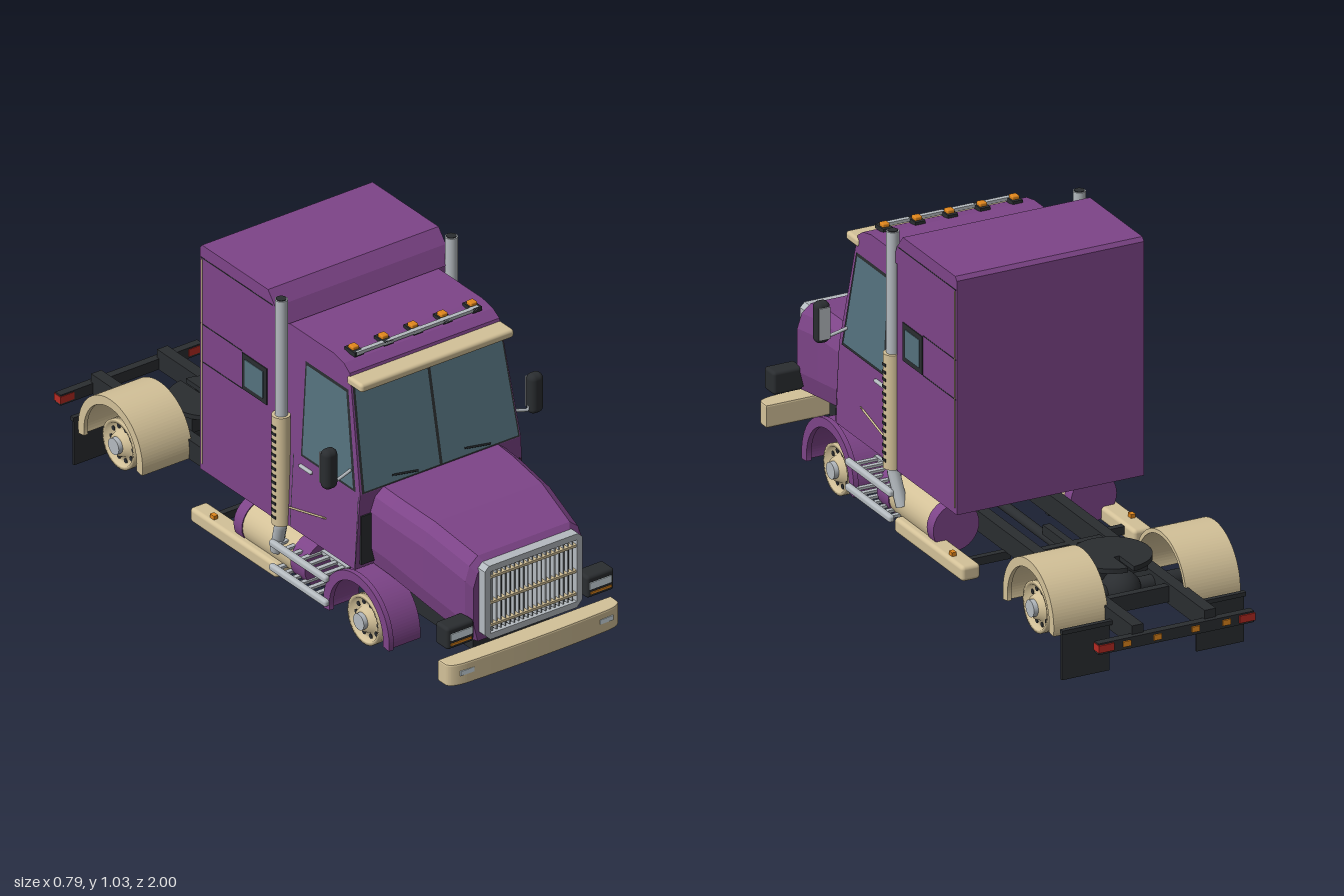
import * as THREE from 'three';
import { RoundedBoxGeometry } from 'three/addons/geometries/RoundedBoxGeometry.js';

const COLORS = {
  purple: 0x7d4488, tan: 0xd3c198, dark: 0x2a2d30, glass: 0x54717d,
  grey: 0xb4babf, orange: 0xe0861c, red: 0xb52a22, lens: 0xd5e2e8,
};
const MATS = {};
for (const [k, color] of Object.entries(COLORS)) {
  MATS[k] = new THREE.MeshStandardMaterial({ color, side: THREE.DoubleSide });
}

export function createModel() {
  const model = new THREE.Group();
  const add = (name, mat, geo) => {
    const m = new THREE.Mesh(geo, MATS[mat]);
    m.name = name;
    model.add(m);
    return m;
  };
  // Box given by its limits, optionally rounded
  const box = (name, mat, x0, x1, y0, y1, z0, z1, r = 0) => {
    const s = [Math.abs(x1 - x0), y1 - y0, z1 - z0];
    const g = r ? new RoundedBoxGeometry(...s, 3, r) : new THREE.BoxGeometry(...s);
    return add(name, mat, g.translate((x0 + x1) / 2, (y0 + y1) / 2, (z0 + z1) / 2));
  };
  // Side outline in (z, y), extruded across x
  const extrudeX = (shape, x0, x1) =>
    new THREE.ExtrudeGeometry(shape, { depth: x1 - x0, bevelEnabled: false, curveSegments: 28 })
      .rotateY(-Math.PI / 2).translate(x1, 0, 0);
  const outline = (pts) => new THREE.Shape(pts.map((p) => new THREE.Vector2(...p)));
  // Grid of points joined into a skin
  const skin = (rows) => {
    const pos = [];
    for (let i = 0; i < rows.length - 1; i++) {
      for (let j = 0; j < rows[i].length - 1; j++) {
        const [a, b, c, d] = [rows[i][j], rows[i][j + 1], rows[i + 1][j + 1], rows[i + 1][j]];
        pos.push(...a, ...b, ...c, ...a, ...c, ...d);
      }
    }
    const g = new THREE.BufferGeometry();
    g.setAttribute('position', new THREE.Float32BufferAttribute(pos, 3));
    g.computeVertexNormals();
    return g;
  };
  const cyl = (name, mat, axis, r, len, x, y, z, seg = 24) => {
    const g = new THREE.CylinderGeometry(r, r, len, seg);
    if (axis === 'x') g.rotateZ(Math.PI / 2);
    if (axis === 'z') g.rotateX(Math.PI / 2);
    return add(name, mat, g.translate(x, y, z));
  };
  const tube = (name, mat, r, ...pts) => add(name, mat, new THREE.TubeGeometry(
    new THREE.CatmullRomCurve3(pts.map((p) => new THREE.Vector3(...p)), false, 'catmullrom', 0.1), 12, r, 10));
  const arch = (r0, r1, x0, x1, a0, a1, y, z) => {
    const s = new THREE.Shape();
    s.absarc(0, 0, r1, a0, a1, false);
    s.absarc(0, 0, r0, a1, a0, true);
    return extrudeX(s, x0, x1).translate(0, y, z);
  };

  // Cab, tapering evenly toward the roof
  const cabW = (y) => 0.302 - 0.055 * (y - 0.285);
  const cab = extrudeX(outline([[0.1, 0.285], [0.52, 0.285], [0.527, 0.53], [0.457, 0.87], [0.45, 0.895],
    [0.42, 0.915], [0.37, 0.925], [0.1, 0.925]]), -1, 1);
  const cp = cab.attributes.position;
  for (let i = 0; i < cp.count; i++) cp.setX(i, cp.getX(i) * cabW(cp.getY(i)));
  cab.computeVertexNormals();
  add('cab', 'purple', cab);
  box('cabFloor', 'dark', -0.28, 0.28, 0.27, 0.286, -0.2, 0.5);
  box('firewall', 'dark', -0.285, 0.285, 0.3, 0.46, 0.515, 0.53);

  // Sleeper with sloping roof front
  add('sleeper', 'purple', extrudeX(outline([[-0.225, 0.28], [0.14, 0.28], [0.14, 0.93], [0.165, 0.93],
    [0.14, 0.985], [0.105, 1.027], [-0.215, 1.027], [-0.225, 1.015]]), -0.306, 0.306));

  // Windscreen panes, divider, visor and wipers
  const wz = (y, o) => 0.527 - 0.206 * (y - 0.53) + o;
  const pane = (x0b, x1b, x0t, x1t, y0, y1, o) => skin([
    [[x0b, y0, wz(y0, o)], [x1b, y0, wz(y0, o)]], [[x0t, y1, wz(y1, o)], [x1t, y1, wz(y1, o)]]]);
  add('windscreenSeal', 'dark', pane(-0.283, 0.283, -0.267, 0.267, 0.533, 0.868, 0.003));
  for (const s of [-1, 1]) {
    add('windscreen', 'glass', pane(s * 0.005, s * 0.276, s * 0.005, s * 0.261, 0.54, 0.862, 0.006));
    tube('wiper', 'dark', 0.003, [s * 0.13 - 0.045, 0.562, wz(0.562, 0.01)], [s * 0.13 + 0.045, 0.548, wz(0.548, 0.01)]);
  }
  box('sunVisor', 'tan', -0.275, 0.275, 0.858, 0.886, 0.44, 0.515, 0.01).rotation.x = 0;
  box('roofLightBar', 'grey', -0.22, 0.22, 0.924, 0.934, 0.405, 0.42);
  for (let i = -2; i <= 2; i++) {
    box('roofLightBase', 'dark', i * 0.106 - 0.016, i * 0.106 + 0.016, 0.92, 0.934, 0.37, 0.42);
    box('roofLight', 'orange', i * 0.106 - 0.012, i * 0.106 + 0.012, 0.932, 0.945, 0.38, 0.405, 0.004);
  }

  // Hood, lofted along z: [z, half width, top, bottom]
  const rows = [[0.5, 0.25, 0.535, 0.285], [0.6, 0.248, 0.53, 0.28], [0.76, 0.235, 0.517, 0.25],
    [0.93, 0.21, 0.475, 0.21], [0.95, 0.195, 0.455, 0.205]].map(([z, w, t, b]) => {
    const half = [[w - 0.015, b], [w, b + 0.06], [w, t - 0.07], [w - 0.015, t - 0.025], [w - 0.045, t]];
    return [...half.map(([x, y]) => [-x, y, z]), ...half.reverse().map(([x, y]) => [x, y, z])].reverse();
  });
  add('hood', 'purple', skin(rows));
  const nose = rows[rows.length - 1];
  add('hoodNose', 'purple', skin([nose.slice(0, 5), nose.slice(5).reverse()]));

  // Grille
  const frame = new THREE.Shape().moveTo(-0.155, 0.215).lineTo(0.155, 0.215).lineTo(0.175, 0.235)
    .lineTo(0.175, 0.445).lineTo(0.16, 0.46).lineTo(-0.16, 0.46).lineTo(-0.175, 0.445).lineTo(-0.175, 0.235);
  frame.holes.push(outline([[-0.155, 0.235], [-0.155, 0.44], [0.155, 0.44], [0.155, 0.235]]));
  add('grilleFrame', 'grey', new THREE.ExtrudeGeometry(frame, { depth: 0.033, bevelEnabled: false }).translate(0, 0, 0.945));
  box('grilleBack', 'dark', -0.157, 0.157, 0.233, 0.442, 0.945, 0.957);
  for (let i = -9; i <= 9; i++) box('grilleBar', 'grey', i * 0.016 - 0.002, i * 0.016 + 0.002, 0.238, 0.438, 0.957, 0.972);
  for (const y of [0.26, 0.335, 0.42]) box('grilleCrossbar', 'tan', -0.155, 0.155, y - 0.004, y + 0.004, 0.957, 0.977);

  // Front bumper with tapered ends
  const bumper = new THREE.Shape().moveTo(-0.305, 0.935).lineTo(0.305, 0.935).lineTo(0.305, 0.965)
    .quadraticCurveTo(0.3, 0.985, 0.25, 0.988).quadraticCurveTo(0, 0.998, -0.25, 0.988).quadraticCurveTo(-0.3, 0.985, -0.305, 0.965);
  add('frontBumper', 'tan', new THREE.ExtrudeGeometry(bumper, {
    depth: 0.06, bevelSize: 0.004, bevelThickness: 0.006, bevelSegments: 2 }).rotateX(Math.PI / 2).translate(0, 0.175, 0.002));

  // Chassis
  box('frontCrossmember', 'dark', -0.137, 0.137, 0.125, 0.185, 0.83, 0.87);
  for (const z of [-0.35, -0.48, -0.75, 0.1, 0.35]) box('crossmember', 'dark', -0.11, 0.11, 0.13, 0.18, z - 0.012, z + 0.012);
  box('centreBeam', 'dark', -0.012, 0.012, 0.15, 0.18, -0.5, -0.2);
  box('engine', 'dark', -0.09, 0.09, 0.12, 0.36, 0.5, 0.85, 0.02);
  box('rearBar', 'dark', -0.254, 0.254, 0.125, 0.16, -0.995, -0.97);
  cyl('driveshaft', 'dark', 'z', 0.015, 1.05, 0, 0.14, -0.1);
  cyl('frontAxle', 'dark', 'x', 0.018, 0.54, 0, 0.125, 0.545);
  cyl('rearAxle', 'dark', 'x', 0.025, 0.54, 0, 0.15, -0.655);
  add('differential', 'dark', new THREE.SphereGeometry(0.06, 20, 14).translate(0, 0.15, -0.655));

  // Coupling plate with a notch at the rear
  const plate = new THREE.Shape();
  plate.absarc(0, 0, 0.118, -Math.PI / 2 + 0.08, Math.PI * 1.5 - 0.08, false);
  plate.lineTo(-0.009, -0.03).lineTo(0.009, -0.03);
  add('couplingPlate', 'dark', new THREE.ExtrudeGeometry(plate, { depth: 0.015, bevelEnabled: false, curveSegments: 32 })
    .rotateX(Math.PI / 2).translate(0, 0.243, -0.6));
  box('couplingBase', 'dark', -0.1, 0.1, 0.18, 0.23, -0.63, -0.54);

  // Dished wheel centre with bolt holes
  const wheel = (s, y, z, x) => {
    const dish = [[0.02, 0.008], [0.035, 0.008], [0.042, -0.01], [0.062, -0.01], [0.068, 0.004], [0.078, 0.004], [0.078, -0.02], [0.02, -0.02]]
      .map((p) => new THREE.Vector2(...p));
    add('wheelDisc', 'tan', new THREE.LatheGeometry(dish, 32).rotateZ(-s * Math.PI / 2).translate(s * x, y, z));
    cyl('wheelHub', 'grey', 'x', 0.026, 0.045, s * x, y, z);
    for (let i = 0; i < 10; i++) {
      const a = i * Math.PI / 5;
      cyl('wheelHole', 'dark', 'x', 0.008, 0.014, s * (x - 0.015), y + 0.053 * Math.sin(a), z + 0.053 * Math.cos(a), 10);
    }
  };

  for (const s of [-1, 1]) {
    const mbox = (name, mat, x0, x1, ...rest) => box(name, mat, s * x0, s * x1, ...rest);
    const span = (a, b) => (s > 0 ? [a, b] : [-b, -a]);
    mbox('frameRail', 'dark', 0.1, 0.137, 0.123, 0.187, -0.98, 0.86);
    wheel(s, 0.125, 0.545, 0.285);
    wheel(s, 0.15, -0.655, 0.275);

    // Front fender: thin shell plus outer lip and inner joint to the hood
    add('frontFender', 'purple', arch(0.142, 0.155, ...span(0.2, 0.305), -0.12, Math.PI + 0.12, 0.125, 0.545));
    add('frontFenderLip', 'purple', arch(0.13, 0.16, ...span(0.3, 0.316), -0.14, Math.PI + 0.14, 0.125, 0.545));
    add('rearFender', 'tan', arch(0.143, 0.156, ...span(0.128, 0.304), -0.17, Math.PI + 0.17, 0.15, -0.66));
    add('rearFenderLip', 'tan', arch(0.128, 0.156, ...span(0.292, 0.305), -0.17, Math.PI + 0.17, 0.15, -0.66));
    mbox('mudFlap', 'dark', 0.142, 0.298, 0, 0.158, -0.852, -0.845);
    mbox('mudFlapBar', 'dark', 0.13, 0.3, 0.145, 0.158, -0.86, -0.845);
    mbox('tailLight', 'red', 0.205, 0.256, 0.132, 0.155, -1, -0.968);
    for (const x of [0.05, 0.15]) mbox('rearMarker', 'orange', x, x + 0.025, 0.135, 0.152, -1, -0.99);

    // Headlight pod and bumper lamp
    mbox('headlightPod', 'dark', 0.202, 0.3, 0.22, 0.292, 0.905, 0.965, 0.01);
    mbox('headlightArm', 'dark', 0.15, 0.22, 0.23, 0.28, 0.905, 0.93);
    mbox('headlight', 'lens', 0.21, 0.288, 0.25, 0.272, 0.955, 0.968);
    mbox('turnSignal', 'orange', 0.214, 0.288, 0.233, 0.24, 0.955, 0.968);
    mbox('bumperLamp', 'lens', 0.226, 0.274, 0.142, 0.157, 0.975, 0.996);

    // Side window and door details
    const side = (pts, o) => skin([pts.slice(0, 2), [pts[3], pts[2]]].map((r) => r.map(([z, y]) => [s * (cabW(y) + o), y, z])));
    add('sideWindowSeal', 'dark', side([[0.508, 0.533], [0.243, 0.533], [0.243, 0.842], [0.45, 0.842]], 0.002));
    add('sideWindow', 'glass', side([[0.497, 0.542], [0.252, 0.542], [0.252, 0.833], [0.443, 0.833]], 0.004));
    for (const z of [0.523, 0.21]) add('doorSeam', 'dark', side([[z - 0.003, 0.29], [z, 0.29], [z, 0.525], [z - 0.003, 0.525]], 0.002));
    tube('doorTrim', 'tan', 0.003, [s * 0.299, 0.388, 0.375], [s * 0.301, 0.345, 0.2]);
    mbox('doorHandle', 'grey', 0.285, 0.299, 0.496, 0.506, 0.24, 0.3, 0.004);

    // Sleeper window, seams and rear trim
    mbox('sleeperWindowFrame', 'dark', 0.3, 0.309, 0.642, 0.762, -0.018, 0.102);
    mbox('sleeperWindow', 'glass', 0.3, 0.311, 0.658, 0.746, -0.002, 0.086);
    for (const y of [0.64, 0.765, 0.985]) mbox('sleeperSeam', 'dark', 0.3, 0.307, y - 0.0015, y + 0.0015, -0.22, y < 0.9 ? -0.02 : 0.13);
    mbox('sleeperTrim', 'tan', 0.302, 0.308, 0.3, 0.98, -0.216, -0.212);

    // Exhaust stack with slotted heat shield
    cyl('exhaustStack', 'grey', 'y', 0.019, 0.745, s * 0.305, 0.652, 0.168);
    cyl('exhaustMouth', 'dark', 'y', 0.015, 0.004, s * 0.305, 1.025, 0.168);
    cyl('heatShield', 'tan', 'y', 0.028, 0.36, s * 0.306, 0.462, 0.168);
    for (let i = 0; i < 14; i++) mbox('shieldSlot', 'dark', 0.325, 0.335, 0.305 + i * 0.023, 0.314 + i * 0.023, 0.158, 0.178);
    tube('exhaustElbow', 'grey', 0.019, [s * 0.305, 0.3, 0.168], [s * 0.305, 0.27, 0.165], [s * 0.295, 0.17, 0.13]);

    // Mirror and its arms
    mbox('mirror', 'dark', 0.345, 0.393, 0.565, 0.695, 0.465, 0.505, 0.018);
    mbox('mirrorGlass', 'grey', 0.352, 0.387, 0.58, 0.68, 0.462, 0.467);
    tube('mirrorArm', 'grey', 0.005, [s * 0.285, 0.595, 0.48], [s * 0.345, 0.58, 0.485], [s * 0.362, 0.635, 0.485]);

    // Fuel tank, access steps and side board
    cyl('fuelTank', 'tan', 'z', 0.072, 0.3, s * 0.225, 0.167, 0.1, 32);
    cyl('tankEnd', 'purple', 'z', 0.075, 0.04, s * 0.225, 0.167, -0.05, 32);
    cyl('tankEnd', 'purple', 'z', 0.075, 0.07, s * 0.225, 0.167, 0.24, 32);
    cyl('tankCap', 'grey', 'y', 0.014, 0.02, s * 0.235, 0.242, 0.05);
    for (const y of [0.21, 0.13]) {
      mbox('stepRail', 'grey', 0.312, 0.332, y - 0.011, y + 0.011, 0.14, 0.415, 0.008);
      mbox('stepInnerRail', 'grey', 0.23, 0.242, y - 0.006, y + 0.006, 0.14, 0.4);
      for (let i = 0; i < 7; i++) mbox('stepSlat', 'grey', 0.235, 0.32, y - 0.004, y + 0.004, 0.155 + i * 0.037, 0.17 + i * 0.037);
    }
    mbox('sideBoard', 'tan', 0.25, 0.312, 0.085, 0.133, -0.268, 0.15, 0.012);
    mbox('boardMarker', 'orange', 0.285, 0.3, 0.13, 0.145, -0.185, -0.165);
    for (const z of [-0.2, 0.02]) mbox('boardBracket', 'dark', 0.12, 0.27, 0.1, 0.125, z - 0.01, z + 0.01);
  }
  return model;
}
